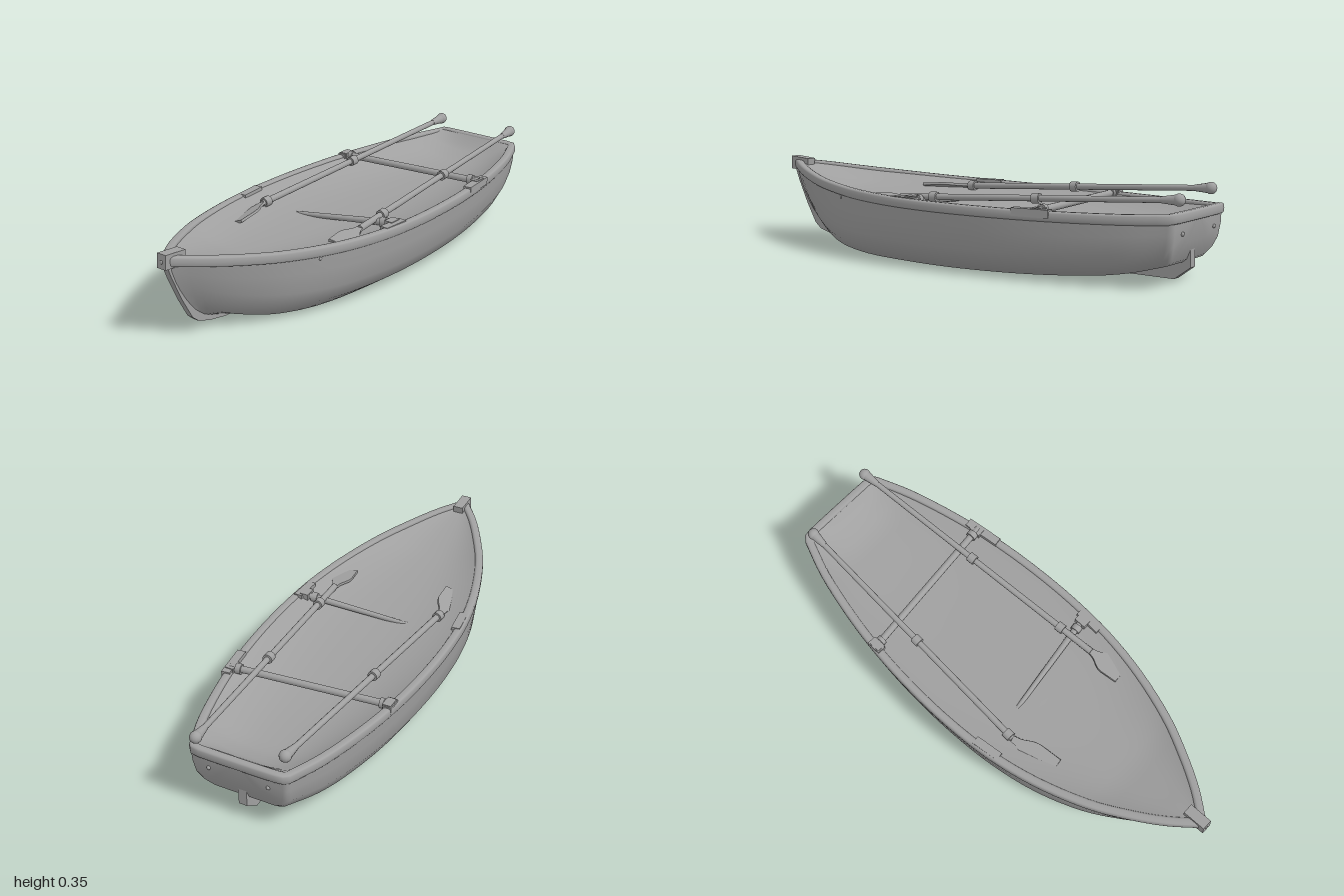
import * as THREE from 'three';

// z, half width, rim height, bottom height, V shape of the section
const STATIONS = [
  [-0.95, 0.205, 0.276, 0.075, 0], [-0.8, 0.262, 0.271, 0.046, 0], [-0.6, 0.312, 0.268, 0.024, 0],
  [-0.4, 0.346, 0.267, 0.011, 0], [-0.2, 0.363, 0.267, 0.004, 0], [0, 0.366, 0.268, 0.001, 0],
  [0.2, 0.352, 0.272, 0.002, 0], [0.4, 0.313, 0.28, 0.005, 0], [0.6, 0.247, 0.295, 0.014, 0.06],
  [0.75, 0.172, 0.311, 0.026, 0.2], [0.87, 0.098, 0.327, 0.04, 0.48], [0.97, 0.018, 0.34, 0.055, 1],
];
const rimCurve = new THREE.CatmullRomCurve3(STATIONS.map(s => new THREE.Vector3(s[1], s[2], s[0])), false, 'catmullrom');
const keelCurve = new THREE.CatmullRomCurve3(STATIONS.map(s => new THREE.Vector3(s[3], s[4], 0)), false, 'catmullrom');
const SECTION = [[0, 0], [0.35, 0], [0.69, 0.005], [0.86, 0.17], [0.953, 0.39], [0.985, 0.7], [1, 1]];
const V = (x, y, z) => new THREE.Vector3(x, y, z);

// Skin a list of rows of points
function loft(rows, closeRow = false) {
  const n = rows[0].length, index = [];
  for (let i = 0; i < rows.length - 1; i++) {
    for (let j = 0; j < (closeRow ? n : n - 1); j++) {
      const a = i * n + j, b = i * n + (j + 1) % n;
      index.push(a, a + n, b, b, a + n, b + n);
    }
  }
  const g = new THREE.BufferGeometry().setFromPoints(rows.flat());
  g.setIndex(index);
  g.computeVertexNormals();
  return g;
}

export function createModel() {
  const boat = new THREE.Group();
  boat.name = 'rowingBoat';
  const grey = new THREE.MeshStandardMaterial({ color: 0xa0a0a0, side: THREE.DoubleSide });
  grey.name = 'grey';

  function add(name, geometry, parent = boat) {
    const mesh = new THREE.Mesh(geometry, grey);
    mesh.name = name;
    parent.add(mesh);
    return mesh;
  }
  // Round bar between two points
  function bar(name, a, b, ra, rb = ra, parent = boat) {
    const dir = b.clone().sub(a);
    const mesh = add(name, new THREE.CylinderGeometry(rb, ra, dir.length(), 12), parent);
    mesh.position.copy(a).add(b).multiplyScalar(0.5);
    mesh.quaternion.setFromUnitVectors(V(0, 1, 0), dir.normalize());
  }

  // Hull section at t; k shrinks it towards the rim to close the transom
  function hullRow(t, k = 1, dz = 0) {
    const r = rimCurve.getPoint(t), b = keelCurve.getPoint(t);
    const top = r.y - 0.02, w = Math.max(r.x - 0.005, 0.008);
    const half = SECTION.map(([sx, sy], i) => {
      const x = THREE.MathUtils.lerp(sx, (i / 6) ** 0.8, b.y);
      const v = 1 - k * (1 - THREE.MathUtils.lerp(sy, i / 6, b.y));
      const bow = 0.125 * THREE.MathUtils.clamp((r.z - 0.4) / 0.57, 0, 1) ** 1.5 * (1 - v) ** 1.6;
      const stern = 0.05 * THREE.MathUtils.clamp((-0.7 - r.z) / 0.25, 0, 1) * (1 - v) ** 3;
      return V(x * w * k, THREE.MathUtils.lerp(b.x, top, v), r.z - bow + stern + dz);
    });
    return [...half.slice(1).reverse().map(p => V(-p.x, p.y, p.z)), ...half];
  }
  const hull = [hullRow(0, 0, -0.022), hullRow(0, 0.5, -0.022), hullRow(0, 0.9, -0.021), hullRow(0, 0.97, -0.014)];
  for (let i = 0; i <= 44; i++) hull.push(hullRow(i / 44));
  add('hull', loft(hull));

  // Shallow dished inner deck, deeper towards the stern
  const deck = [];
  for (let i = 0; i <= 44; i++) {
    const r = rimCurve.getPoint(i / 44), row = [];
    const dish = THREE.MathUtils.lerp(0.07, 0.05, THREE.MathUtils.smoothstep(r.z, -0.6, 0.2));
    const depth = dish * Math.min(1, Math.sqrt((r.z + 0.95) / 0.15), (0.98 - r.z) / 0.35);
    for (let j = -10; j <= 10; j++) {
      const u = j / 10;
      row.push(V(u * Math.max(r.x - 0.016, 0), r.y - 0.003 - depth * (1 - Math.abs(u) ** 2.5), r.z));
    }
    deck.push(row);
  }
  add('innerDeck', loft(deck));

  // Rounded gunwale swept round the rim
  const side = [];
  for (let i = 44; i >= 0; i--) {
    const r = rimCurve.getPoint(i / 44);
    side.push(V(Math.max(r.x - 0.016, 0.004), r.y - 0.02, r.z));
  }
  const transom = [[0.179, -0.963], [0.15, -0.967], [0.08, -0.968], [0, -0.968], [-0.08, -0.968], [-0.15, -0.967], [-0.179, -0.963]]
    .map(([x, z]) => V(x, 0.26, z));
  const path = [...side, ...transom, ...side.map(p => V(-p.x, p.y, p.z)).reverse()];
  const rim = path.map((p, i) => {
    const a = path[Math.max(i - 1, 0)], b = path[Math.min(i + 1, path.length - 1)];
    const out = V(a.z - b.z, 0, b.x - a.x).normalize();
    return Array.from({ length: 14 }, (_, j) => {
      const q = j / 14 * Math.PI * 2, c = Math.cos(q), s = Math.sin(q);
      const dx = 0.017 * Math.sign(c) * Math.abs(c) ** 0.6, dy = 0.02 * Math.sign(s) * Math.abs(s) ** 0.6;
      return p.clone().addScaledVector(out, dx).add(V(0, dy, 0));
    });
  });
  add('gunwale', loft(rim, true));

  // Side profile in z, y extruded across x
  function fin(name, points, width) {
    const shape = new THREE.Shape(points.map(([z, y]) => new THREE.Vector2(z, y)));
    const g = new THREE.ExtrudeGeometry(shape, { depth: width, bevelEnabled: false });
    g.translate(0, 0, -width / 2).rotateY(-Math.PI / 2);
    return add(name, g);
  }
  fin('stem', [[0.985, 0.31], [0.962, 0.25], [0.915, 0.15], [0.87, 0.07], [0.84, 0.045], [0.78, 0.027],
    [0.7, 0.014], [0.55, 0.014], [0.7, 0.07], [0.8, 0.13], [0.9, 0.31]], 0.026);
  const skeg = fin('skeg', [[-0.95, 0.13], [-0.95, 0.062], [-0.885, 0.014], [-0.5, 0.014], [-0.5, 0.04], [-0.85, 0.13]], 0.034);
  const sp = skeg.geometry.attributes.position;
  for (let i = 0; i < sp.count; i++) sp.setX(i, sp.getX(i) * THREE.MathUtils.clamp((-0.45 - sp.getZ(i)) / 0.4, 0.1, 1));
  skeg.geometry.computeVertexNormals();
  const cap = add('stemCap', new THREE.BoxGeometry(0.042, 0.055, 0.095));
  cap.position.set(0, 0.321, 0.949);
  cap.rotation.x = -0.08;
  add('stemBolt', new THREE.SphereGeometry(0.01, 12, 8)).position.set(0, 0.322, 0.99);

  // Oars: knob, handle, shaft, collars and flat blade
  function oar(name, start, end, collars, length, width, tilt, yaw) {
    const g = new THREE.Group();
    g.name = name;
    boat.add(g);
    const at = f => start.clone().lerp(end, f);
    bar('shaft', start, end, 0.011, 0.013, g);
    add('knob', new THREE.SphereGeometry(0.023, 14, 10), g).position.copy(at(0.012));
    bar('handle', at(0.012), at(0.07), 0.021, 0.012, g);
    for (const f of collars) bar('collar', at(f - 0.013), at(f + 0.013), 0.02, 0.02, g);
    const w = width / 2;
    const s = new THREE.Shape();
    s.moveTo(-0.013, 0);
    s.bezierCurveTo(-0.015, length * 0.25, -w, length * 0.3, -w, length * 0.55);
    s.lineTo(-w * 0.9, length);
    s.lineTo(w * 0.9, length);
    s.lineTo(w, length * 0.55);
    s.bezierCurveTo(w, length * 0.3, 0.015, length * 0.25, 0.013, 0);
    const plate = new THREE.ExtrudeGeometry(s, { depth: 0.01, bevelEnabled: false });
    const blade = add('blade', plate.translate(0, 0, -0.005).rotateY(tilt), g);
    blade.position.copy(end);
    // Blade runs along the shaft with its face towards the sky
    const along = end.clone().sub(start).normalize();
    along.x += yaw;
    along.normalize();
    const across = along.clone().cross(V(0, 1, 0)).normalize();
    blade.quaternion.setFromRotationMatrix(new THREE.Matrix4().makeBasis(across, along, across.clone().cross(along)));
  }
  oar('rightOar', V(-0.17, 0.332, -0.945), V(-0.229, 0.252, 0.22), [0.535, 0.98], 0.2, 0.085, 0.35, 0.2);
  oar('leftOar', V(0.159, 0.326, -0.99), V(0.243, 0.257, 0.2), [0.49, 0.87], 0.15, 0.085, -0.1, 0);

  // Cross bars
  bar('rearCrossBar', V(-0.32, 0.262, -0.43), V(0.32, 0.266, -0.492), 0.014);
  bar('rearBarCollar', V(0.272, 0.266, -0.488), V(0.294, 0.266, -0.49), 0.021);
  bar('rearBarCollar', V(-0.3, 0.262, -0.432), V(-0.284, 0.262, -0.433), 0.02);
  bar('frontCrossBar', V(0.32, 0.262, 0.085), V(-0.12, 0.213, 0.14), 0.014, 0.009);
  bar('frontBarCollar', V(0.288, 0.258, 0.09), V(0.264, 0.256, 0.093), 0.02);

  // Rowlock pads on the gunwale: x, z, length, turn
  const pads = [[0.322, -0.465, 0.15, 0.12], [-0.322, -0.43, 0.06, 0], [0.332, 0.11, 0.11, -0.06], [-0.328, 0.18, 0.115, 0.12]];
  for (const [x, z, length, turn] of pads) {
    const pad = add('rowlockPad', new THREE.BoxGeometry(0.034, 0.03, length));
    pad.position.set(x, 0.258, z);
    pad.rotation.y = turn;
  }
  for (const [x, z] of [[0.312, -0.49], [0.312, 0.09], [-0.318, -0.43]]) {
    add('rowlockBlock', new THREE.BoxGeometry(0.034, 0.03, 0.05)).position.set(x, 0.261, z);
  }

  // Small studs on the transom and sides
  for (const s of [-1, 1]) {
    add('transomStud', new THREE.SphereGeometry(0.008, 10, 8)).position.set(s * 0.12, 0.2, -0.97);
    add('sideStud', new THREE.SphereGeometry(0.007, 10, 8)).position.set(s * 0.28, 0.238, 0.48);
  }
  return boat;
}
